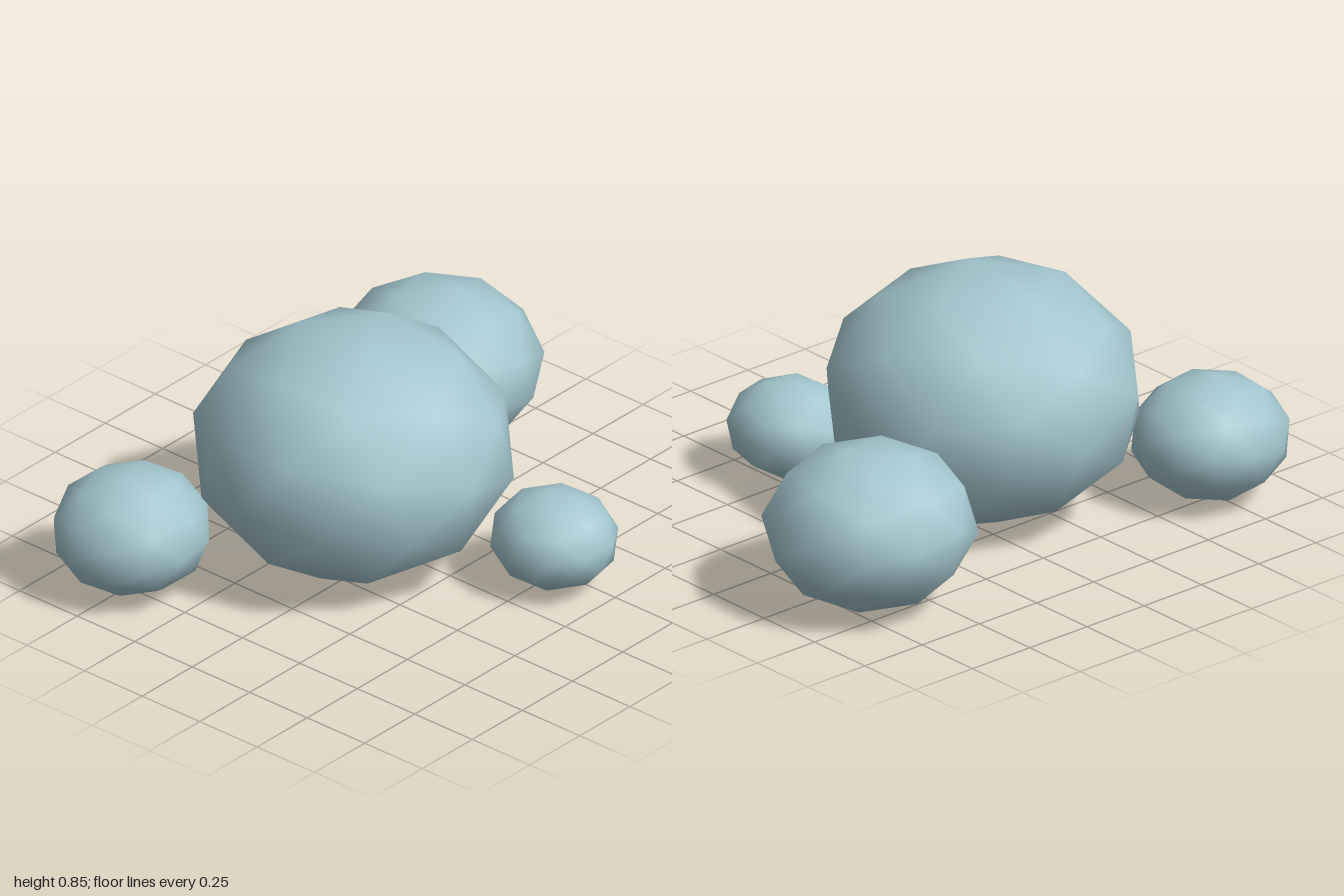
import * as THREE from 'three';

// Low-poly, smooth-shaded puffs: centre, half-sizes and the turn of the facets
const PUFFS = [
  { name: 'mainPuff', center: [-0.115, 0.423, -0.07], half: [0.535, 0.423, 0.54], turn: [0.25, 0.5, 0.2] },
  { name: 'leftPuff', center: [0.653, 0.28, -0.382], half: [0.344, 0.268, 0.343], turn: [0.6, 1.3, 0.4] },
  { name: 'rightPuff', center: [-0.735, 0.22, -0.494], half: [0.265, 0.21, 0.262], turn: [0.9, 0.2, 1.1] },
  { name: 'frontPuff', center: [0.189, 0.176, 0.538], half: [0.207, 0.164, 0.212], turn: [0.4, 0.8, 0.7] },
];

// Turn the ball first, then flatten it so that it fills its box exactly
function makePuff({ name, center, half, turn }, material) {
  const geometry = new THREE.IcosahedronGeometry(1, 1);
  geometry.rotateX(turn[0]).rotateY(turn[1]).rotateZ(turn[2]);
  geometry.center();
  geometry.computeBoundingBox();
  const reach = geometry.boundingBox.max;
  geometry.scale(half[0] / reach.x, half[1] / reach.y, half[2] / reach.z);
  const mesh = new THREE.Mesh(geometry, material);
  mesh.name = name;
  mesh.position.set(...center);
  return mesh;
}

export function createModel() {
  const group = new THREE.Group();
  group.name = 'cloud';
  const material = new THREE.MeshStandardMaterial({ color: 0xa3c6cf });
  material.name = 'pale blue';
  for (const puff of PUFFS) group.add(makePuff(puff, material));
  return group;
}
